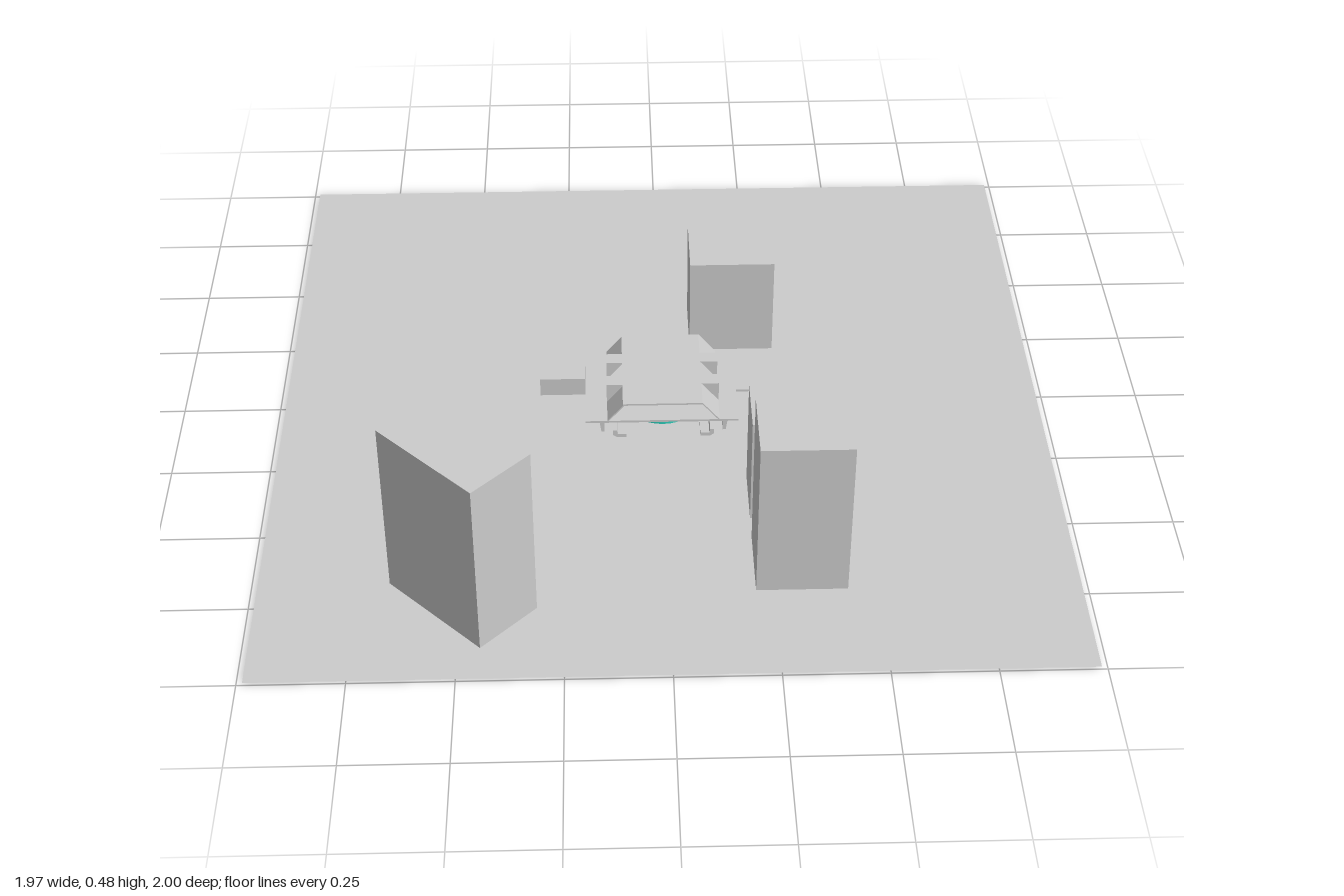
import * as THREE from 'three';

export function createModel() {
  const model = new THREE.Group();
  const grey = new THREE.MeshStandardMaterial({ color: 0xcccccc, side: THREE.DoubleSide, flatShading: true });
  const teal = new THREE.MeshStandardMaterial({ color: 0x2fd0bd, side: THREE.DoubleSide });
  const groundY = 0.008;

  function add(name, geometry, material = grey) {
    const mesh = new THREE.Mesh(geometry, material);
    mesh.name = name;
    model.add(mesh);
    return mesh;
  }

  // box given by its extents on each axis
  function box(name, x0, x1, y0, y1, z0, z1) {
    const mesh = add(name, new THREE.BoxGeometry(x1 - x0, y1 - y0, z1 - z0));
    mesh.position.set((x0 + x1) / 2, (y0 + y1) / 2, (z0 + z1) / 2);
    return mesh;
  }

  // x/y outline extruded between two z positions
  function prism(name, points, z0, z1) {
    const shape = new THREE.Shape(points.map(([x, y]) => new THREE.Vector2(x, y)));
    const geometry = new THREE.ExtrudeGeometry(shape, { depth: z1 - z0, bevelEnabled: false });
    geometry.translate(0, 0, z0);
    return add(name, geometry);
  }

  // flat ground sheet
  const ground = add('ground', new THREE.PlaneGeometry(1.97, 2));
  ground.rotation.x = -Math.PI / 2;
  ground.position.y = groundY;

  // plain block buildings around the station
  box('frontBuilding', 0.205, 0.425, groundY, 0.44, 0.535, 0.725);
  box('middleBuilding', 0.205, 0.38, groundY, 0.305, 0.31, 0.467);
  box('backBuilding', 0.08, 0.302, groundY, 0.287, -0.405, -0.22);
  const turned = box('turnedBuilding', -0.158, 0.158, groundY, 0.482, -0.092, 0.092);
  turned.position.x = -0.493;
  turned.position.z = 0.725;
  turned.rotation.y = -Math.PI / 4;

  // round core below the deck
  const core = add('core', new THREE.CylinderGeometry(0.095, 0.095, 0.05, 32), teal);
  core.position.y = 0.033;

  // deck and roof
  box('deck', -0.2, 0.192, 0.056, 0.062, -0.145, 0.145);
  box('roof', -0.104, 0.1, 0.111, 0.116, -0.145, 0.145);

  for (const s of [-1, 1]) {
    // long rails and skirts under the deck
    prism('upperSkirt', [[s * 0.152, 0.056], [s * 0.164, 0.056], [s * 0.16, 0.028], [s * 0.152, 0.028]], -0.145, 0.145);
    prism('lowerRail', [[s * 0.095, 0.0], [s * 0.108, 0.0], [s * 0.13, 0.015], [s * 0.13, 0.03],
      [s * 0.12, 0.03], [s * 0.118, 0.018], [s * 0.095, 0.018]], -0.145, 0.145);

    for (const t of [-1, 1]) {
      // sloping wall and overhanging door frame beside each doorway
      const wallZ = [t * 0.065, t * 0.145].sort((a, b) => a - b);
      prism('slopingWall', [[s * 0.1, 0.116], [s * 0.145, 0.061], [s * 0.141, 0.061], [s * 0.096, 0.116]], ...wallZ);
      const frameZ = [t * 0.027, t * 0.065].sort((a, b) => a - b);
      prism('doorFrame', [[s * 0.1, 0.116], [s * 0.145, 0.116], [s * 0.145, 0.061]], ...frameZ);
    }
  }

  // open passage on the right side
  box('passageFloor', -0.317, -0.2, 0.058, 0.062, -0.03, 0.03);
  box('passageRoof', -0.317, -0.2, 0.107, 0.11, -0.03, 0.03);
  for (const s of [-1, 1]) {
    const z = s * 0.028;
    box('passageWall', -0.317, -0.2, 0.062, 0.107, z - 0.002, z + 0.002);
  }

  // flat walkway on the left side
  box('walkway', 0.192, 0.312, 0.056, 0.062, -0.025, 0.025);

  return model;
}
